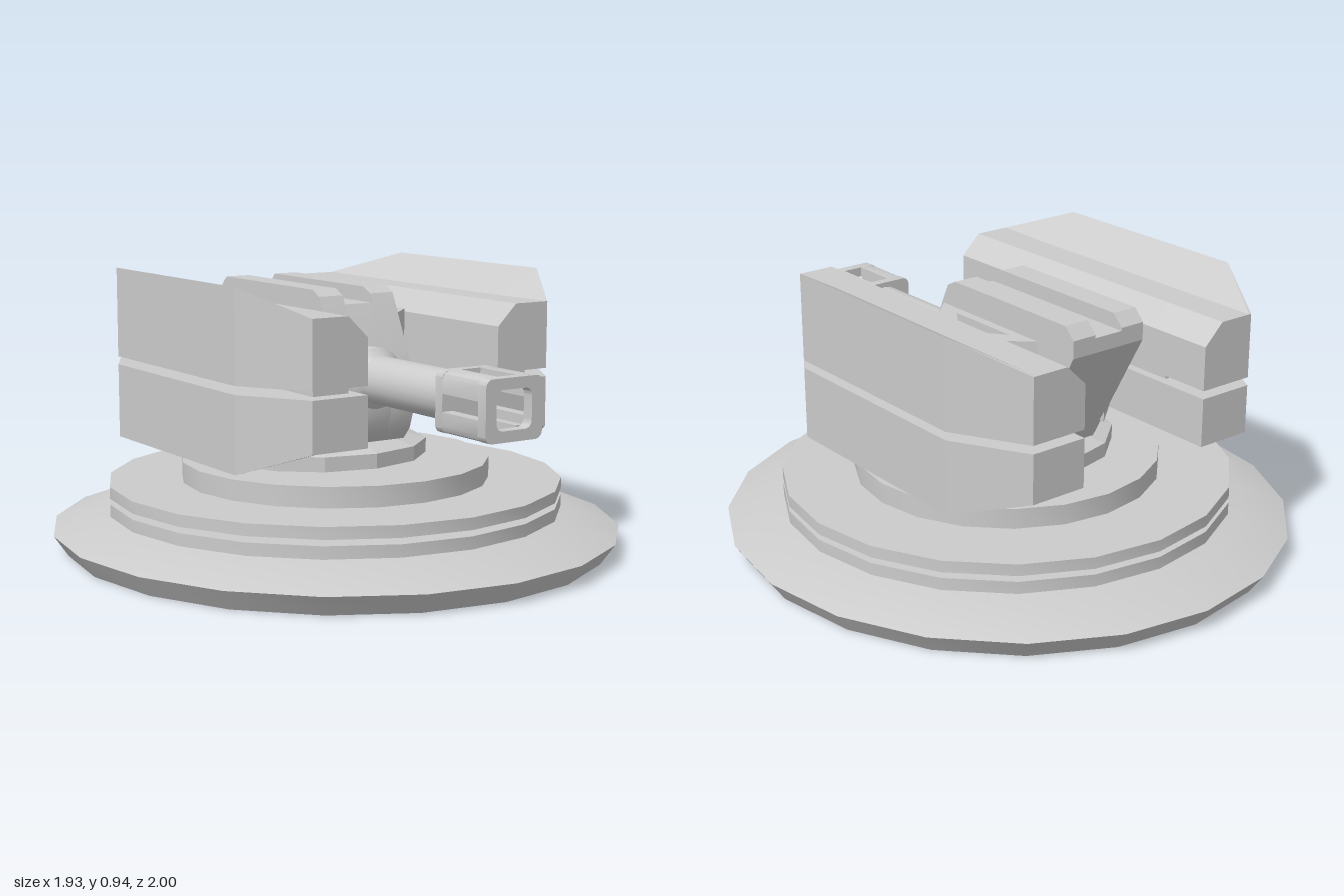
import * as THREE from 'three';
import { toCreasedNormals } from 'three/addons/utils/BufferGeometryUtils.js';

const CX = -0.0125; // centre line of the turret
const BARREL_Y = 0.6;
const material = new THREE.MeshStandardMaterial({ color: 0xcccccc });
const flat = new THREE.MeshStandardMaterial({ color: 0xcccccc, flatShading: true });
const v2 = (p) => new THREE.Vector2(p[0], p[1]);

function add(group, name, geometry, mat = material) {
  const mesh = new THREE.Mesh(geometry, mat);
  mesh.name = name;
  group.add(mesh);
  return mesh;
}

// 20-sided turned part with crisp profile edges
function turned(profile) {
  return toCreasedNormals(new THREE.LatheGeometry(profile.map(v2), 20), 0.42);
}

// Side profile in (z, y), extruded from x0 to x1
function slab(profile, x0, x1) {
  const g = new THREE.ExtrudeGeometry(new THREE.Shape(profile.map(v2)), { depth: x1 - x0, bevelEnabled: false });
  g.rotateY(-Math.PI / 2);
  g.translate(x1, 0, 0);
  return toCreasedNormals(g, 0.45);
}

// Rectangle with rounded corners
function rounded(Type, hx, hy, r) {
  const s = new Type();
  s.absarc(hx - r, hy - r, r, 0, Math.PI / 2);
  s.absarc(-hx + r, hy - r, r, Math.PI / 2, Math.PI);
  s.absarc(-hx + r, -hy + r, r, Math.PI, Math.PI * 1.5);
  s.absarc(hx - r, -hy + r, r, Math.PI * 1.5, Math.PI * 2);
  s.closePath();
  return s;
}

// Closed loft along z through four sections; the end sections fold the flank in to x = 0.455
function podGeometry(points, side) {
  const zs = [-0.68, -0.43, 0.365, 0.59];
  const sections = zs.map((z, k) => points.map(([x, y, endY = y]) => {
    const end = k === 0 || k === 3;
    return [CX + side * (end ? Math.min(x, 0.455) : x), end ? endY : y, z];
  }));
  const out = [];
  const tri = (a, b, c) => out.push(...a, ...(side > 0 ? b : c), ...(side > 0 ? c : b));
  const n = points.length;
  for (let k = 0; k < 3; k++) {
    for (let i = 0; i < n; i++) {
      const j = (i + 1) % n, a = sections[k], b = sections[k + 1];
      tri(a[i], b[i], b[j]);
      tri(a[i], b[j], a[j]);
    }
  }
  for (let i = 1; i < n - 1; i++) {
    tri(sections[0][0], sections[0][i], sections[0][i + 1]);
    tri(sections[3][0], sections[3][i + 1], sections[3][i]);
  }
  const g = new THREE.BufferGeometry();
  g.setAttribute('position', new THREE.Float32BufferAttribute(out, 3));
  g.computeVertexNormals();
  return g;
}

function buildBase(root) {
  const base = new THREE.Group();
  base.name = 'base';
  root.add(base);
  add(base, 'baseSkirt', turned([[0, 0], [0.95, 0], [1, 0.07], [0.84, 0.128], [0, 0.128]])).scale.x = 0.967;
  add(base, 'stackedRings', turned([
    [0.78, 0.12], [0.78, 0.17], [0.7, 0.17], [0.7, 0.19], [0.78, 0.19], [0.78, 0.23], [0, 0.23],
  ]));
  add(base, 'turntable', turned([[0.53, 0.22], [0.53, 0.3], [0, 0.3]]));
  // Pivot plate with a sloping top
  const pivot = add(base, 'pivotPlate', new THREE.LatheGeometry(
    [[0.36, 0.29], [0.36, 0.35], [0.15, 0.41], [0, 0.41]].map(v2), 12), flat);
  pivot.scale.z = 0.85;
  pivot.position.set(CX, 0, -0.03);
}

function buildBody(root) {
  const body = new THREE.Group();
  body.name = 'turretBody';
  root.add(body);
  const lower = [[-0.27, 0.38], [0.22, 0.38], [0.255, 0.42], [0.275, 0.48], [0.275, 0.58]];
  const core = [...lower, [0.24, 0.68], [0.16, 0.84], [-0.5, 0.84], [-0.5, 0.79]];
  const cheek = [...lower, [0.24, 0.68], [0.17, 0.83], [0.15, 0.87], [0.11, 0.89], [-0.46, 0.89], [-0.5, 0.85], [-0.5, 0.79]];
  add(body, 'bodyCore', slab(core, CX - 0.055, CX + 0.055));
  add(body, 'rightCheek', slab(cheek, CX - 0.147, CX - 0.055));
  add(body, 'leftCheek', slab(cheek, CX + 0.055, CX + 0.147));

  // Slotted mounts between the body and the pods
  for (const side of [-1, 1]) {
    const pt = ([x, z]) => new THREE.Vector2(CX + side * x, z);
    const shape = new THREE.Shape([[0.14, -0.33], [0.255, -0.23], [0.255, 0.07], [0.14, 0.18]].map(pt));
    shape.holes.push(new THREE.Path([[0.178, -0.22], [0.222, -0.16], [0.222, 0], [0.178, 0.06]].map(pt)));
    const g = new THREE.ExtrudeGeometry(shape, { depth: 0.35, bevelEnabled: false });
    g.rotateX(Math.PI / 2);
    g.translate(0, 0.8, 0);
    add(body, side > 0 ? 'leftPodMount' : 'rightPodMount', g);
  }
}

function buildCannon(root) {
  const cannon = new THREE.Group();
  cannon.name = 'cannon';
  cannon.position.set(CX, BARREL_Y, 0);
  root.add(cannon);
  const barrel = turned([[0.105, 0.18], [0.105, 0.27], [0.08, 0.295], [0.08, 0.77], [0, 0.77]]);
  barrel.rotateX(Math.PI / 2);
  add(cannon, 'barrel', barrel);

  // Hollow muzzle: two end frames joined by four corner posts, leaving side windows
  const hx = 0.107, hy = 0.097, t = 0.04;
  const extrude = (shape, z0, z1) => {
    const g = new THREE.ExtrudeGeometry(shape, { depth: z1 - z0, bevelEnabled: false, curveSegments: 4 });
    g.translate(0, 0, z0);
    return toCreasedNormals(g, 0.6);
  };
  const frame = rounded(THREE.Shape, hx, hy, 0.025);
  frame.holes.push(rounded(THREE.Path, hx - t, hy - t + 0.005, 0.025));
  add(cannon, 'muzzleBackFrame', extrude(frame, 0.74, 0.775));
  add(cannon, 'muzzleFrontFrame', extrude(frame, 0.95, 0.988));
  for (const sx of [-1, 1]) {
    for (const sy of [-1, 1]) {
      const post = new THREE.Shape([
        [0.037, hy], [hx - 0.025, hy], [hx - 0.008, hy - 0.008], [hx, hy - 0.025],
        [hx, 0.028], [hx - t, 0.028], [hx - t, hy - t], [0.037, hy - t],
      ].map(([x, y]) => new THREE.Vector2(sx * x, sy * y)));
      add(cannon, 'muzzlePost', extrude(post, 0.775, 0.95));
    }
  }
}

function buildPods(root) {
  // Section points: x, y, and optionally the y at the two ends
  const upper = [[0.253, 0.64], [0.253, 0.79], [0.325, 0.86], [0.445, 0.86], [0.595, 0.945, 0.86], [0.595, 0.64]];
  const lower = [[0.253, 0.445], [0.253, 0.612], [0.595, 0.612], [0.595, 0.36, 0.445], [0.445, 0.445]];
  for (const side of [-1, 1]) {
    const pod = new THREE.Group();
    pod.name = side > 0 ? 'leftPod' : 'rightPod';
    root.add(pod);
    add(pod, 'upperPodShell', podGeometry(upper, side), flat);
    add(pod, 'lowerPodShell', podGeometry(lower, side), flat);
    const spacer = add(pod, 'podSpacer', new THREE.BoxGeometry(0.13, 0.06, 1));
    spacer.position.set(CX + side * 0.35, 0.626, 0.03);
  }
}

export function createModel() {
  const root = new THREE.Group();
  root.name = 'turret';
  buildBase(root);
  buildBody(root);
  buildCannon(root);
  buildPods(root);
  return root;
}
